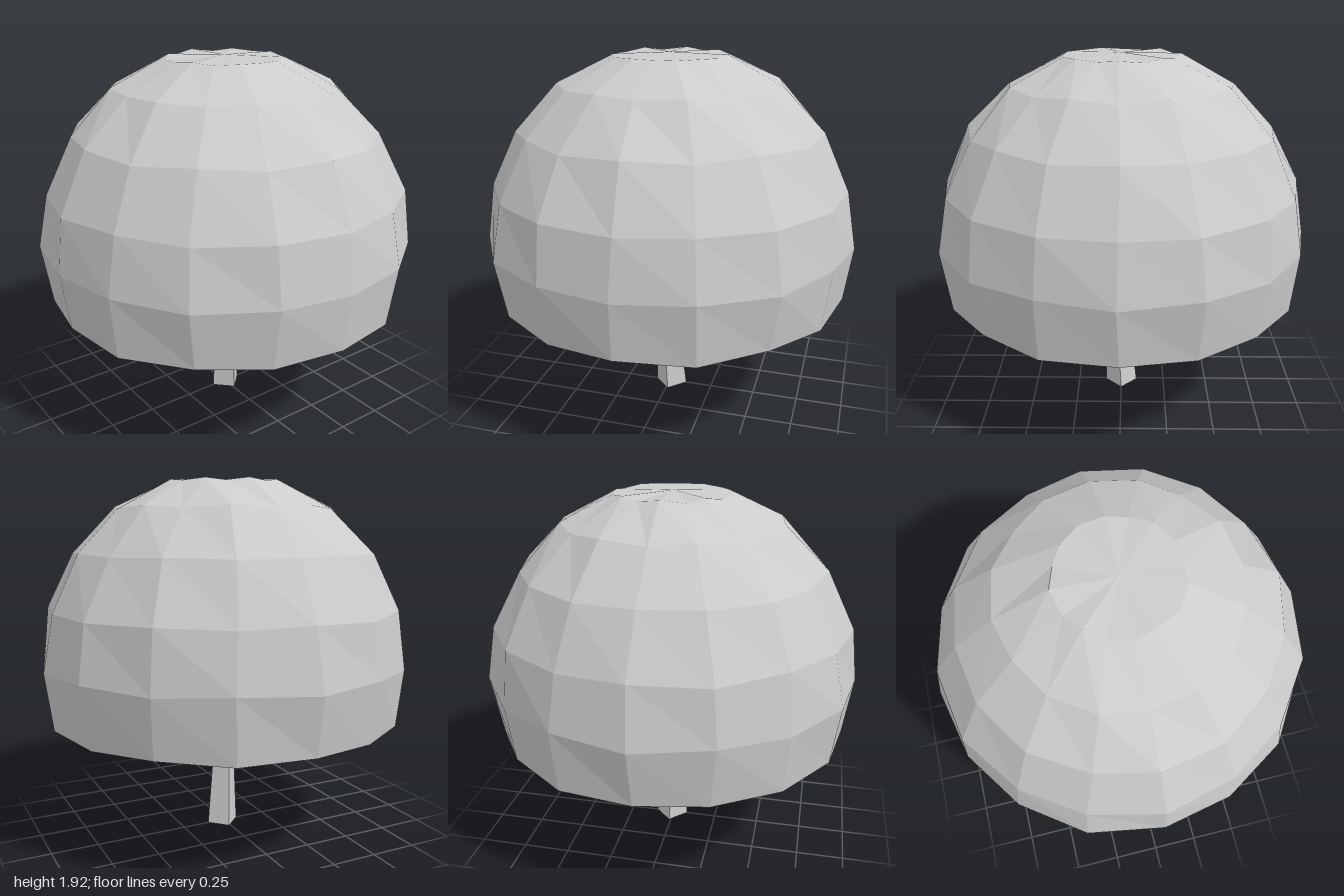
import * as THREE from 'three';

const SIDES = 16;
const material = () => new THREE.MeshStandardMaterial({ color: 0xcccccc, flatShading: true });

// Hollow dome: inner wall down, rim, outer wall up, with a slight hand-made wobble
function createCap() {
  const profile = [
    [0, 1.87], [0.27, 1.85], [0.54, 1.72], [0.75, 1.51], [0.89, 1.24], [0.94, 0.96], [0.89, 0.66],
    [0.945, 0.65], [0.99, 0.96], [0.945, 1.25], [0.8, 1.54], [0.58, 1.77], [0.3, 1.91], [0, 1.92],
  ].map(([r, y]) => new THREE.Vector2(r, y));
  const geometry = new THREE.LatheGeometry(profile, SIDES);
  const pos = geometry.attributes.position;
  for (let i = 0; i < pos.count; i++) {
    const row = i % profile.length;
    const side = Math.floor(i / profile.length) % SIDES;
    if (profile[row].x === 0) continue;
    // Inner and outer rows share the same wobble so the wall keeps its thickness
    const ring = Math.min(row, profile.length - 1 - row);
    const wave = side * 2.3 + ring * 1.7;
    pos.setXYZ(
      i,
      pos.getX(i) + 0.008 * Math.sin(wave),
      pos.getY(i) + 0.008 * Math.cos(wave * 1.3),
      pos.getZ(i) - 0.005 + 0.008 * Math.cos(wave),
    );
  }
  const cap = new THREE.Mesh(geometry, material());
  cap.name = 'cap';
  return cap;
}

// Crooked four-sided stalk, flared at the foot and reaching up inside the cap
function createStem() {
  // height, centre x, centre z, half width
  const rings = [
    [0, 0, -0.01, 0.09],
    [0.47, 0.025, 0.012, 0.061],
    [0.98, 0.01, -0.01, 0.053],
    [1.45, 0.01, 0, 0.055],
    [1.88, 0, 0, 0.06],
  ];
  const last = rings.length - 1;
  const geometry = new THREE.CylinderGeometry(1, 1, 1, 4, last);
  const pos = geometry.attributes.position;
  for (let i = 0; i < pos.count; i++) {
    const [y, cx, cz, r] = rings[Math.round((pos.getY(i) + 0.5) * last)];
    pos.setXYZ(i, cx + pos.getX(i) * r, y, cz + pos.getZ(i) * r);
  }
  const stem = new THREE.Mesh(geometry, material());
  stem.name = 'stem';
  return stem;
}

export function createModel() {
  const mushroom = new THREE.Group();
  mushroom.name = 'mushroom';
  mushroom.add(createCap(), createStem());
  return mushroom;
}
